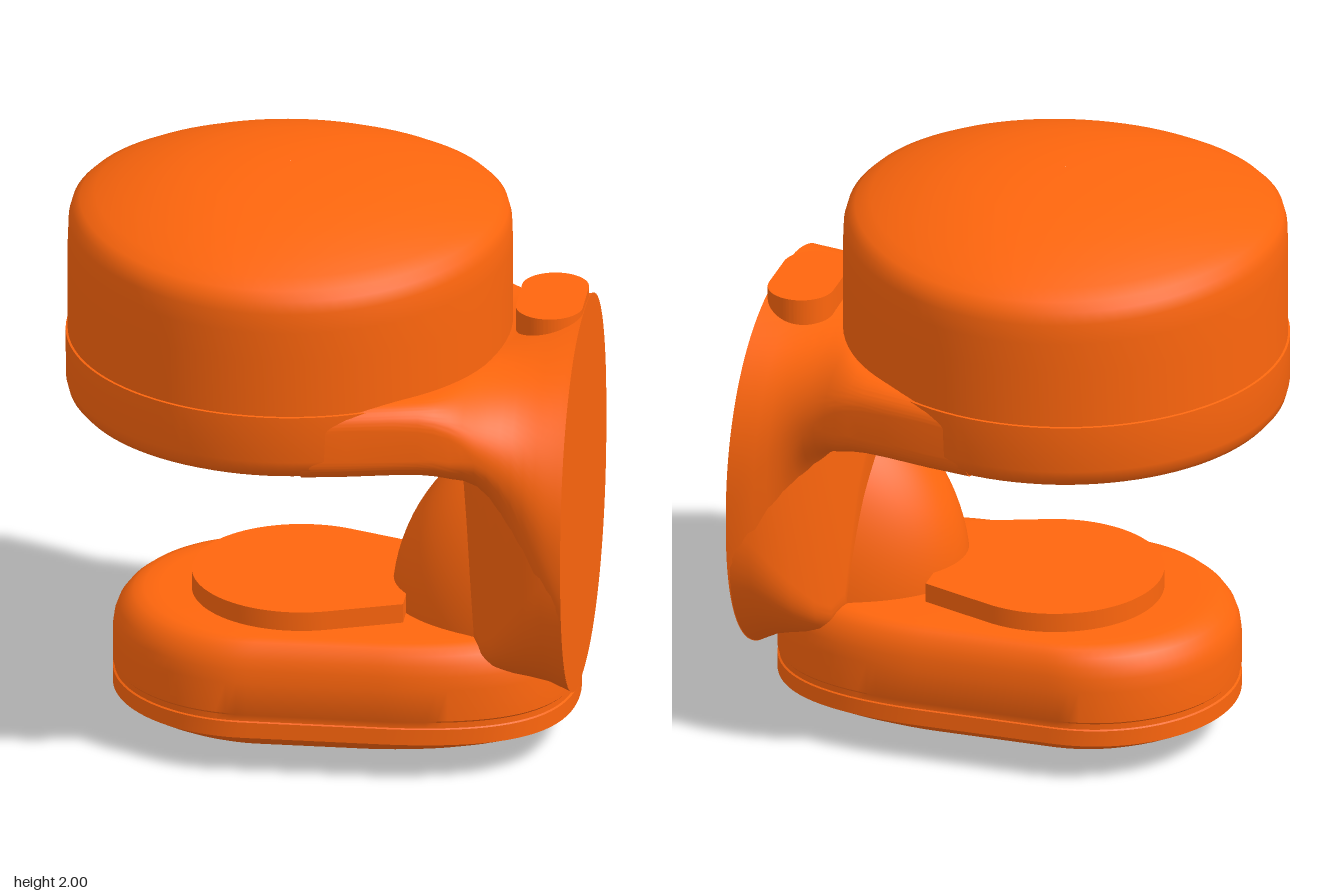
import * as THREE from 'three';
import { toCreasedNormals } from 'three/addons/utils/BufferGeometryUtils.js';

const orange = new THREE.MeshStandardMaterial({ color: 0xff660d });

function part(name, geometry, x = 0, y = 0, z = 0) {
  const mesh = new THREE.Mesh(geometry, orange);
  mesh.name = name;
  mesh.position.set(x, y, z);
  return mesh;
}

// Skin a list of equal-length closed rings of [x, y, z] points
function loft(rings, crease) {
  const n = rings[0].length;
  const index = [];
  for (let i = 0; i < rings.length - 1; i++) {
    for (let j = 0; j < n; j++) {
      const k = (j + 1) % n;
      const a = i * n + j, b = i * n + k, c = a + n, d = b + n;
      index.push(a, c, b, b, c, d);
    }
  }
  const geo = new THREE.BufferGeometry();
  geo.setAttribute('position', new THREE.Float32BufferAttribute(rings.flat(2), 3));
  geo.setIndex(index);
  return toCreasedNormals(geo, crease);
}

// Flat slab from a plan outline, standing on y = 0
function slab(shape, height) {
  const geo = new THREE.ExtrudeGeometry(shape, { depth: height, bevelEnabled: false, curveSegments: 32 });
  return toCreasedNormals(geo.rotateX(-Math.PI / 2), 0.5);
}

// Upper drum: lathe with a seam, the dome falling a little more to front and back
function drumGeometry() {
  const profile = [
    [0.001, 1.16], [0.62, 1.158], [0.67, 1.163], [0.705, 1.18], [0.727, 1.205], [0.736, 1.24],
    [0.737, 1.4], [0.73, 1.402], [0.73, 1.6], [0.73, 1.72], [0.727, 1.8], [0.716, 1.84],
    [0.69, 1.865], [0.64, 1.89], [0.56, 1.922], [0.45, 1.955], [0.33, 1.98], [0.2, 1.993], [0.1, 1.999], [0.001, 2]
  ].map(([r, y]) => new THREE.Vector2(r, y));
  const geo = new THREE.LatheGeometry(profile, 96);
  const p = geo.attributes.position;
  for (let i = 0; i < p.count; i++) {
    const lift = THREE.MathUtils.clamp((p.getY(i) - 1.6) / 0.2, 0, 1);
    p.setY(i, p.getY(i) - 0.035 * lift * (p.getZ(i) / 0.73) ** 2);
  }
  return toCreasedNormals(geo, 0.7);
}

// Rounded-rectangle sections along x: [x, bottom, top, half width, corner radius in z, in y]
function sectionLoft(stations) {
  const n = 96;
  const ring = ([x, lo, hi, w, rz, ry], s = 1) => Array.from({ length: n }, (_, j) => {
    const a = ((j + 0.5) / n) * Math.PI * 2;
    const side = (v, half, r) => Math.sign(v) * (half - r + r * Math.abs(v) ** 0.89) * s;
    return [x, (lo + hi) / 2 + side(Math.sin(a), (hi - lo) / 2, ry), side(Math.cos(a), w, rz)];
  });
  const rings = stations.map((s) => ring(s));
  rings.unshift(ring(stations[0], 0.001));
  rings.push(ring(stations.at(-1), 0.001));
  return loft(rings, 0.8);
}

// Neck: leaves the drum at a tangent and flares into the round end face
const neckStations = [
  [0.0, 1.16, 1.41, 0.722, 0.08, 0.08], [0.15, 1.16, 1.417, 0.698, 0.08, 0.08],
  [0.3, 1.158, 1.42, 0.668, 0.09, 0.085], [0.38, 1.152, 1.42, 0.65, 0.1, 0.09],
  [0.43, 1.138, 1.42, 0.64, 0.13, 0.1], [0.48, 1.11, 1.42, 0.628, 0.2, 0.12],
  [0.52, 1.08, 1.421, 0.617, 0.3, 0.15], [0.56, 1.035, 1.424, 0.607, 0.4, 0.19],
  [0.6, 0.97, 1.431, 0.598, 0.48, 0.23], [0.64, 0.88, 1.441, 0.593, 0.54, 0.28],
  [0.68, 0.76, 1.454, 0.596, 0.58, 0.345], [0.72, 0.61, 1.466, 0.608, 0.606, 0.425],
  [0.76, 0.46, 1.477, 0.624, 0.624, 0.505], [0.8, 0.335, 1.488, 0.634, 0.634, 0.575],
  [0.83, 0.26, 1.495, 0.638, 0.638, 0.615], [0.85, 0.22, 1.5, 0.64, 0.64, 0.64]
];

// Column: narrow inner face widening towards the end face
const columnStations = [
  [0.472, 1.05, 1.3, 0.2, 0.08, 0.05], [0.482, 0.98, 1.3, 0.25, 0.1, 0.06],
  [0.5, 0.82, 1.3, 0.3, 0.11, 0.07], [0.515, 0.62, 1.3, 0.33, 0.12, 0.08],
  [0.53, 0.43, 1.3, 0.355, 0.14, 0.09], [0.56, 0.365, 1.3, 0.41, 0.2, 0.13],
  [0.6, 0.34, 1.31, 0.47, 0.3, 0.2], [0.66, 0.315, 1.36, 0.54, 0.43, 0.32],
  [0.72, 0.29, 1.41, 0.59, 0.54, 0.44], [0.78, 0.262, 1.455, 0.62, 0.61, 0.55],
  [0.848, 0.222, 1.495, 0.638, 0.638, 0.636]
];

// Base: tapered plan outline scaled level by level, lens-like underneath
function baseGeometry() {
  const plan = new THREE.Shape();
  plan.moveTo(0.84, 0);
  plan.bezierCurveTo(0.84, 0.34, 0.64, 0.465, 0.27, 0.478);
  plan.lineTo(-0.22, 0.48);
  plan.absarc(-0.22, 0, 0.48, Math.PI / 2, Math.PI * 1.5, false);
  plan.lineTo(0.27, -0.478);
  plan.bezierCurveTo(0.64, -0.465, 0.84, -0.34, 0.84, 0);
  const outline = plan.getSpacedPoints(120).slice(0, 120);
  const ring = (y, s, shift = 0) =>
    outline.map((p) => [0.07 + (p.x - 0.07) * s - shift, y, p.y * s]);
  const rings = [];
  for (let i = 0; i <= 12; i++) {
    const s = Math.max(i / 12, 0.001);
    rings.push(ring(0.135 * s ** 2.6, s, 0.15 * (1 - s)));
  }
  const levels = [
    [0.19, 1], [0.194, 0.992], [0.214, 0.992], [0.22, 1], [0.33, 1], [0.375, 0.992], [0.41, 0.975],
    [0.44, 0.945], [0.46, 0.91], [0.47, 0.865], [0.474, 0.8], [0.474, 0.001]
  ];
  levels.forEach(([y, s]) => rings.push(ring(y, s)));
  return loft(rings, 0.6);
}

export function createModel() {
  const model = new THREE.Group();
  model.name = 'headUnit';

  model.add(part('drum', drumGeometry(), -0.117));
  model.add(part('undersideDisc', new THREE.CylinderGeometry(0.56, 0.56, 0.04, 80), -0.11, 1.155, 0));
  model.add(part('undersideStud', new THREE.CylinderGeometry(0.035, 0.035, 0.03, 24), -0.715, 1.165, 0));
  model.add(part('neck', sectionLoft(neckStations)));
  model.add(part('column', sectionLoft(columnStations)));
  model.add(part('base', baseGeometry()));

  // Rounded hub between column and base
  const hub = new THREE.SphereGeometry(0.63, 48, 24, -Math.PI / 2, Math.PI, 0, Math.PI / 2);
  hub.scale(1, 1.06, 0.62);
  model.add(part('hub', hub, 0.85, 0.45, 0));

  // Raised pad: round at one end, tapering to a straight edge
  const pad = new THREE.Shape();
  const tangent = THREE.MathUtils.degToRad(70);
  pad.moveTo(0.285, -0.25);
  pad.lineTo(0.285, 0.25);
  pad.absarc(-0.08, 0, 0.36, tangent, Math.PI * 2 - tangent, false);
  model.add(part('pad', slab(pad, 0.09), 0, 0.45, 0));

  // Oblong button on the arm
  const button = new THREE.Shape();
  button.absarc(0, 0.082, 0.11, 0, Math.PI, false);
  button.absarc(0, -0.082, 0.11, Math.PI, Math.PI * 2, false);
  model.add(part('button', slab(button, 0.12), 0.738, 1.4, -0.087));

  // Small round plug under the base
  const plug = part('basePlug', new THREE.CylinderGeometry(0.06, 0.06, 0.04, 32), -0.61, 0.1, 0);
  plug.rotation.z = -0.44;
  model.add(plug);

  return model;
}
